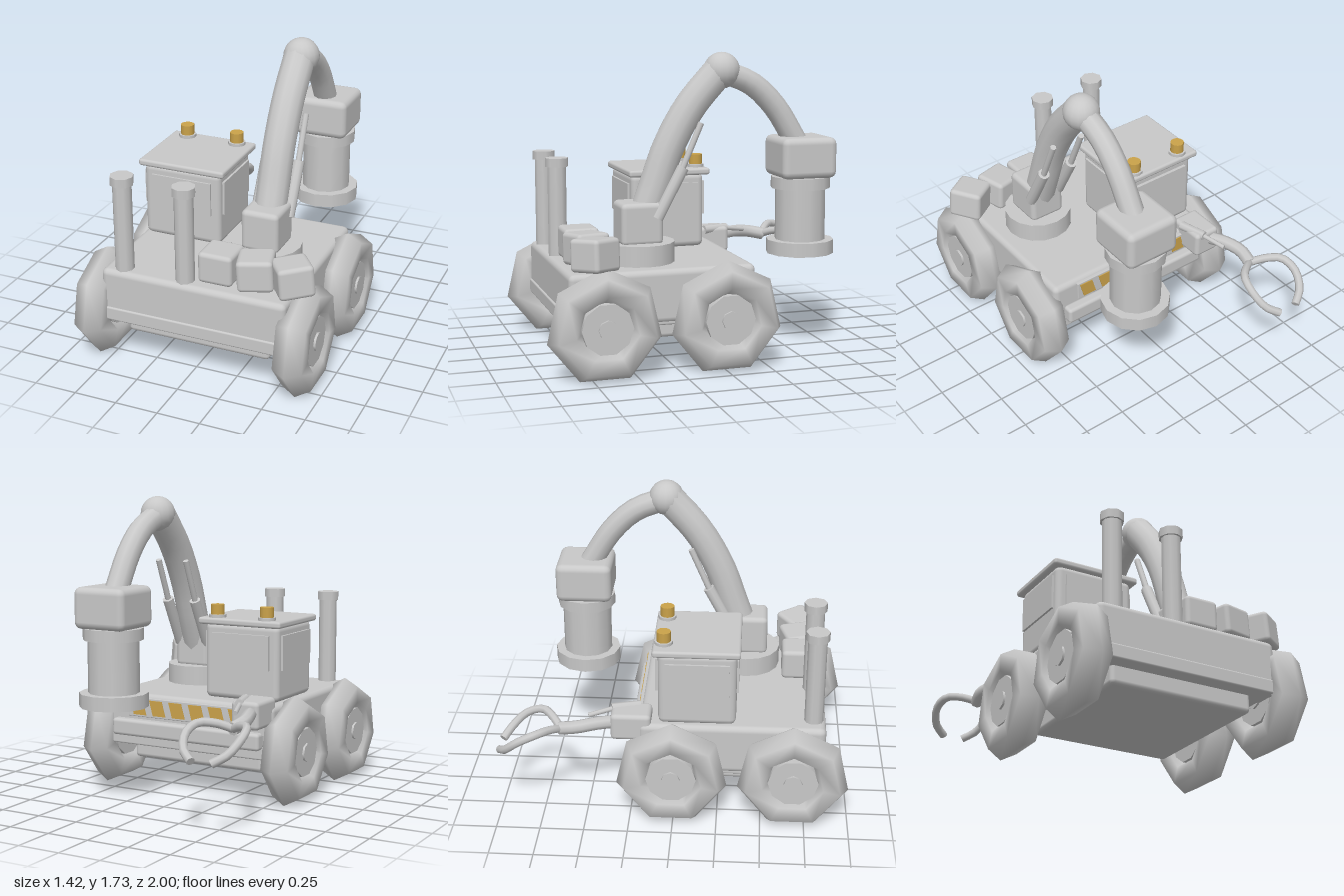
import * as THREE from 'three';
import { RoundedBoxGeometry } from 'three/addons/geometries/RoundedBoxGeometry.js';

const grey = new THREE.MeshStandardMaterial({ name: 'light grey', color: 0xc8c8c8 });
const amber = new THREE.MeshStandardMaterial({ name: 'amber', color: 0xcaa24a });
const V = (p) => new THREE.Vector3(...p);

export function createModel() {
  const root = new THREE.Group();
  root.name = 'rover';

  const add = (name, geo, pos = [0, 0, 0], mat = grey, parent = root) => {
    const m = new THREE.Mesh(geo, mat);
    m.name = name;
    m.position.set(...pos);
    parent.add(m);
    return m;
  };
  // rounded box given by its min and max corners
  const box = (name, a, b, r = 0.02, parent = root) =>
    add(name, new RoundedBoxGeometry(b[0] - a[0], b[1] - a[1], b[2] - a[2], 2, r),
      a.map((v, i) => (v + b[i]) / 2), grey, parent);
  // upright cylinder from y0 to y1
  const post = (name, x, z, y0, y1, r, sides, mat = grey) =>
    add(name, new THREE.CylinderGeometry(r, r, y1 - y0, sides), [x, (y0 + y1) / 2, z], mat);
  // cylinder between two points
  const rod = (name, a, b, r, sides = 10) => {
    const d = V(b).sub(V(a));
    const m = add(name, new THREE.CylinderGeometry(r, r, d.length(), sides),
      a.map((v, i) => (v + b[i]) / 2));
    m.quaternion.setFromUnitVectors(new THREE.Vector3(0, 1, 0), d.normalize());
    return m;
  };
  // curved tube with closed ends
  const tube = (name, pts, r, sides = 10, steps = 10) => {
    const curve = new THREE.CatmullRomCurve3(pts.map(V));
    const g = new THREE.Group();
    g.name = name;
    root.add(g);
    add(name + 'Skin', new THREE.TubeGeometry(curve, steps, r, sides), [0, 0, 0], grey, g);
    for (const t of [0, 1]) {
      const cap = add(name + 'Cap', new THREE.CircleGeometry(r, sides), curve.getPoint(t).toArray(), grey, g);
      const dir = curve.getTangent(t).multiplyScalar(t ? 1 : -1);
      cap.quaternion.setFromUnitVectors(new THREE.Vector3(0, 0, 1), dir);
    }
  };

  // chassis
  box('chassis', [-0.53, 0.27, -0.2], [0.57, 0.57, 0.86], 0.035);
  box('chassisSkirt', [-0.52, 0.26, -0.205], [0.56, 0.34, 0.87], 0.01);
  box('belly', [-0.41, 0.16, -0.1], [0.45, 0.34, 0.78], 0.025);
  box('rearBumper', [-0.47, 0.32, -0.26], [0.51, 0.42, -0.19], 0.02);
  box('rearPanel', [-0.38, 0.435, -0.215], [0.42, 0.55, -0.19], 0.005);

  // slanted warning stripes on the rear panel
  const s = new THREE.Shape([[-0.055, -0.045], [0.03, -0.045], [0.055, 0.045], [-0.03, 0.045]]
    .map((p) => new THREE.Vector2(...p)));
  const stripe = new THREE.ExtrudeGeometry(s, { depth: 0.006, bevelEnabled: false });
  for (let i = 0; i < 6; i++) add('warningStripe', stripe, [-0.31 + i * 0.132, 0.493, -0.22], amber);

  // wheels: seven-sided tyres with hub and cap
  const tyre = new THREE.TorusGeometry(0.2255, 0.098, 6, 7).rotateZ(Math.PI / 2).rotateY(Math.PI / 2);
  const hub = new THREE.CylinderGeometry(0.143, 0.143, 0.14, 10).rotateZ(Math.PI / 2);
  const hubCap = new THREE.CylinderGeometry(0.053, 0.053, 0.165, 8).rotateZ(Math.PI / 2);
  for (const x of [-0.58, 0.62]) for (const z of [-0.01, 0.68]) {
    const wheel = new THREE.Group();
    wheel.name = 'wheel';
    wheel.position.set(x, 0.2915, z);
    root.add(wheel);
    add('tyre', tyre, [0, 0, 0], grey, wheel);
    add('hub', hub, [0, 0, 0], grey, wheel);
    add('hubCap', hubCap, [0, 0, 0], grey, wheel);
  }

  // cab with windows, roof and beacons
  box('cab', [-0.505, 0.57, -0.09], [-0.03, 1.01, 0.35], 0.035);
  box('cabRoof', [-0.53, 1.0, -0.12], [0, 1.04, 0.37], 0.015);
  for (const x of [-0.51, -0.025]) add('sideWindow', new THREE.BoxGeometry(0.016, 0.2, 0.36), [x, 0.855, 0.13]);
  for (const z of [-0.098, 0.352]) add('endWindow', new THREE.BoxGeometry(0.37, 0.2, 0.02), [-0.267, 0.855, z]);
  for (const x of [-0.42, -0.1]) {
    post('beaconBase', x, -0.06, 1.035, 1.057, 0.052, 10);
    post('beacon', x, -0.06, 1.055, 1.115, 0.04, 12, amber);
  }

  // exhaust stacks
  for (const x of [-0.41, -0.04]) {
    post('exhaustStack', x, 0.79, 0.55, 1.09, 0.054, 10);
    post('exhaustCap', x, 0.79, 1.08, 1.13, 0.067, 8);
  }

  // cargo crates on the front deck
  [[0.14, 0.67, 0.71, 0, 0], [0.35, 0.672, 0.715, 0.28, 0.06], [0.56, 0.675, 0.715, 0.62, 0.09]]
    .forEach(([x, y, z, ry, rz]) => {
      const c = add('crate', new RoundedBoxGeometry(0.2, 0.18, 0.2, 2, 0.025), [x, y, z]);
      c.rotation.set(0, ry, rz, 'ZYX');
    });

  // crane: turntable, boom, elbow and forearm
  const cx = 0.28;
  post('turntable', cx, 0.395, 0.56, 0.685, 0.2, 16);
  box('boomBase', [0.17, 0.67, 0.28], [0.39, 0.91, 0.52], 0.03);
  tube('boom', [[cx, 0.8, 0.37], [cx, 0.98, 0.305], [cx, 1.2, 0.225], [cx, 1.43, 0.095], [cx, 1.63, -0.08]], 0.092, 12, 12);
  add('elbow', new THREE.SphereGeometry(0.103, 16, 12), [cx + 0.005, 1.628, -0.09]);
  tube('forearm', [[cx, 1.62, -0.1], [cx, 1.55, -0.27], [cx, 1.42, -0.41], [cx, 1.2, -0.55]], 0.068, 10, 10);
  for (const side of [-1, 1]) {
    const x = cx + side * 0.095;
    rod('pistonSleeve', [x, 0.82, 0.315], [x, 1.1, 0.165], 0.034);
    rod('pistonRod', [x, 1.08, 0.175], [x, 1.345, 0.06], 0.018, 8);
  }

  // drilling head hanging from the forearm
  const hz = -0.575;
  box('headHousing', [0.115, 1.01, hz - 0.165], [0.445, 1.245, hz + 0.165], 0.04);
  post('headCollar', cx, hz, 0.945, 1.012, 0.172, 12);
  post('headDrum', cx, hz, 0.63, 0.95, 0.146, 12);
  post('headFlange', cx, hz, 0.565, 0.645, 0.197, 12);

  // rear gripper: mount, arm, piston and two curved fingers
  box('gripperMount', [-0.52, 0.46, -0.36], [-0.35, 0.62, -0.13], 0.025);
  tube('gripperArm', [[-0.455, 0.55, -0.32], [-0.505, 0.56, -0.44], [-0.535, 0.55, -0.55], [-0.52, 0.53, -0.65]], 0.038, 8, 8);
  rod('gripperPistonSleeve', [-0.36, 0.605, -0.2], [-0.405, 0.605, -0.36], 0.028, 8);
  rod('gripperPistonRod', [-0.4, 0.605, -0.34], [-0.45, 0.58, -0.49], 0.014, 8);
  const gx = -0.522;
  for (const side of [-1, 1]) {
    tube('gripperFinger', [[0, 0.53, -0.64], [0.07, 0.56, -0.69], [0.145, 0.57, -0.76], [0.165, 0.53, -0.86],
      [0.13, 0.46, -0.94], [0.06, 0.415, -0.985]].map(([x, y, z]) => [gx + side * x, y, z]), 0.024, 8, 12);
  }

  return root;
}
